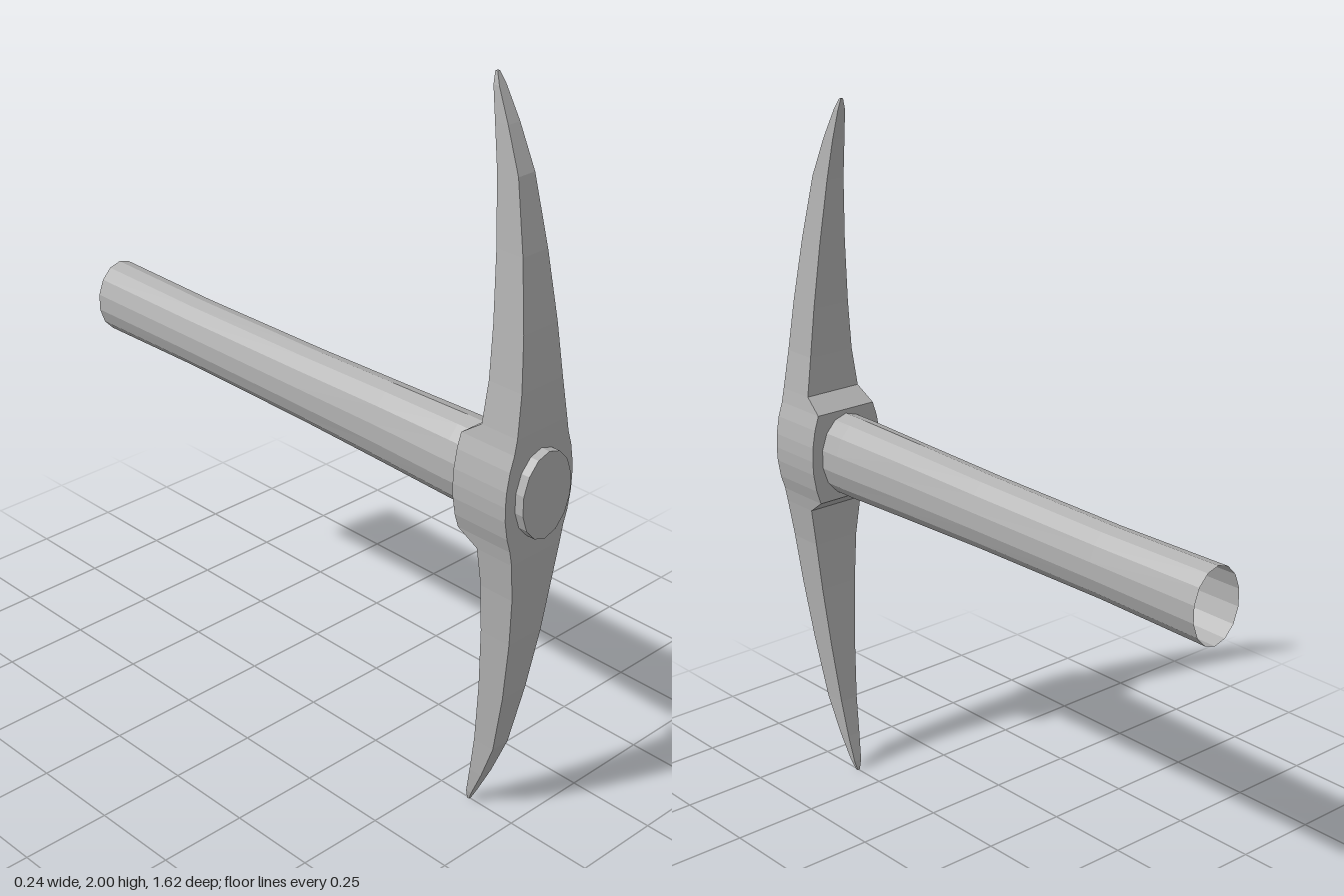
import * as THREE from 'three';

// Join a series of closed cross-sections; optionally close the first and last.
function loft(rings, capStart, capEnd) {
  const n = rings[0].length;
  const positions = rings.flat(2);
  const index = [];
  for (let r = 0; r < rings.length - 1; r++) {
    for (let i = 0; i < n; i++) {
      const a = r * n + i, b = r * n + (i + 1) % n;
      index.push(a, b, a + n, b, b + n, a + n);
    }
  }
  const last = (rings.length - 1) * n;
  for (let i = 1; i < n - 1; i++) {
    if (capStart) index.push(0, i + 1, i);
    if (capEnd) index.push(last, last + i, last + i + 1);
  }
  const g = new THREE.BufferGeometry();
  g.setAttribute('position', new THREE.Float32BufferAttribute(positions, 3));
  g.setIndex(index);
  const flat = g.toNonIndexed();
  flat.computeVertexNormals();
  return flat;
}

export function createModel() {
  const group = new THREE.Group();
  const grey = new THREE.MeshStandardMaterial({ color: 0xb2b2b2, side: THREE.DoubleSide, flatShading: true });

  // Head: [distance from the middle, half width, back z, front z], mirrored up and down
  const half = [
    [0, 0.12, 0.615, 0.785],
    [0.04, 0.118, 0.615, 0.785],
    [0.09, 0.109, 0.615, 0.785],
    [0.13, 0.096, 0.615, 0.785],
    [0.17, 0.088, 0.672, 0.785],
    [0.28, 0.072, 0.675, 0.778],
    [0.42, 0.059, 0.67, 0.764],
    [0.6, 0.043, 0.656, 0.737],
    [0.78, 0.028, 0.635, 0.7],
    [0.89, 0.02, 0.616, 0.656],
    [0.97, 0.012, 0.6, 0.618],
    [1, 0.004, 0.597, 0.604],
  ];
  const sections = [
    ...half.slice(1).reverse().map(([d, ...rest]) => [-d, ...rest]),
    ...half,
  ];
  const headRings = sections.map(([d, w, zb, zf]) => [
    [-w, 1 + d, zf], [w, 1 + d, zf], [w, 1 + d, zb], [-w, 1 + d, zb],
  ]);
  const head = new THREE.Mesh(loft(headRings, true, true), grey);
  head.name = 'pickHead';
  group.add(head);

  // Handle: [z, x radius, y radius], open at the rear and closed at the front
  const profile = [
    [-0.805, 0.079, 0.104],
    [-0.45, 0.077, 0.099],
    [0, 0.078, 0.104],
    [0.3, 0.08, 0.112],
    [0.55, 0.087, 0.118],
    [0.81, 0.087, 0.118],
  ];
  const sides = 14;
  const handleRings = profile.map(([z, rx, ry]) =>
    Array.from({ length: sides }, (_, i) => {
      const a = (i / sides) * Math.PI * 2;
      return [rx * Math.sin(-a), 1 + ry * Math.cos(a), z];
    }));
  const handle = new THREE.Mesh(loft(handleRings, false, true), grey);
  handle.name = 'handle';
  group.add(handle);

  return group;
}
